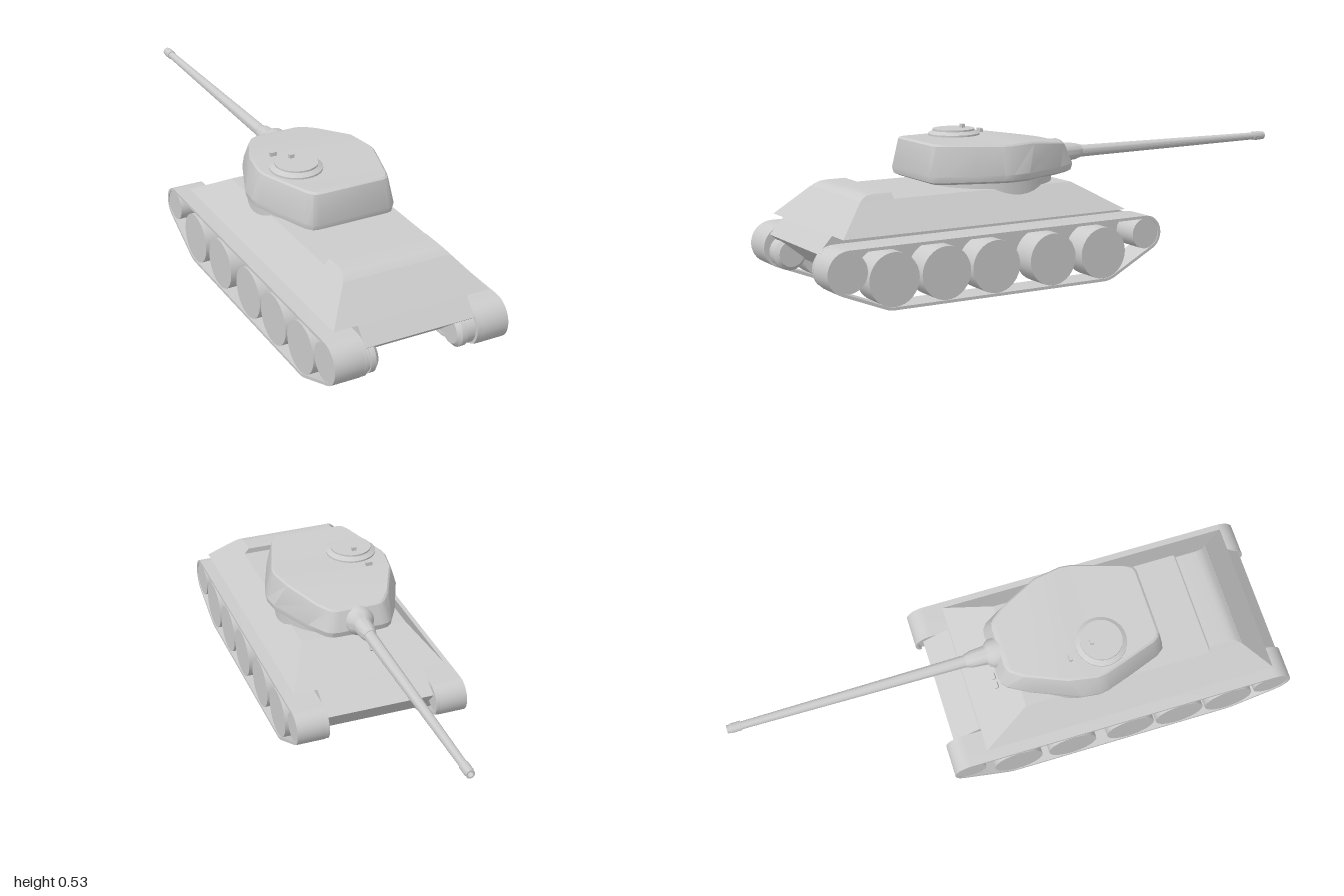
import * as THREE from 'three';
import { toCreasedNormals } from 'three/addons/utils/BufferGeometryUtils.js';

const grey = new THREE.MeshStandardMaterial({ color: 0xcccccc });

function add(parent, name, geometry, x = 0, y = 0, z = 0) {
  const mesh = new THREE.Mesh(geometry, grey);
  mesh.name = name;
  mesh.position.set(x, y, z);
  parent.add(mesh);
  return mesh;
}

// Closed solid from stacked half outlines ([x, y, z], rear to gun end), mirrored in x
function loft(halves, crease = 0.4) {
  const pos = [];
  const rings = halves.map(h => [...h, ...h.map(([x, y, z]) => [-x, y, z]).reverse()]);
  const quad = (a, b, c, d) => pos.push(...a, ...b, ...c, ...a, ...c, ...d);
  const n = rings[0].length;
  for (let k = 0; k < rings.length - 1; k++) {
    const a = rings[k], b = rings[k + 1];
    for (let i = 0; i < n; i++) {
      const j = (i + 1) % n;
      quad(a[i], a[j], b[j], b[i]);
    }
  }
  const lo = rings[0], hi = rings[rings.length - 1];
  for (let i = 0; i < n / 2 - 1; i++) {
    quad(hi[i], hi[i + 1], hi[n - 2 - i], hi[n - 1 - i]);
    quad(lo[n - 1 - i], lo[n - 2 - i], lo[i + 1], lo[i]);
  }
  const g = new THREE.BufferGeometry();
  g.setAttribute('position', new THREE.Float32BufferAttribute(pos, 3));
  return toCreasedNormals(g, crease);
}

// Levels given as [y, half width, gun-end z, rear z]
const block = levels => loft(levels.map(([y, w, zf, zr]) => [[w, y, zr], [w, y, zf]]));

// Running gear circles [z, y, radius], counter-clockwise: rear, idler, first and last road wheel
const circles = [[0.925, 0.137, 0.075], [-0.217, 0.152, 0.063], [-0.04, 0.1, 0.1], [0.765, 0.1, 0.1]];

// Belt path round the circles, pulled in by inset
function beltPath(inset) {
  const tangents = circles.map(([z, y, r], i) => {
    const [z2, y2, r2] = circles[(i + 1) % 4];
    return Math.atan2(y2 - y, z2 - z) - Math.acos((r - r2) / Math.hypot(z2 - z, y2 - y));
  });
  return circles.flatMap(([z, y, r], i) => {
    const start = tangents[(i + 3) % 4];
    const sweep = (tangents[i] - start + 4 * Math.PI) % (2 * Math.PI);
    return Array.from({ length: 13 }, (_, k) => {
      const t = start + sweep * k / 12;
      return new THREE.Vector2(z + (r - inset) * Math.cos(t), y + (r - inset) * Math.sin(t));
    });
  });
}

// Lip over the top run and round both ends
function lipShape() {
  const run = inset => circles.slice(0, 2).flatMap(([z, y, r], i) =>
    Array.from({ length: 13 }, (_, k) => {
      const t = (i ? 90 + 130 * k / 12 : -42 + 132 * k / 12) * Math.PI / 180;
      return new THREE.Vector2(z + (r - inset) * Math.cos(t), y + (r - inset) * Math.sin(t));
    }));
  return new THREE.Shape([...run(0), ...run(0.01).reverse()]);
}

// Extrudes a z-y shape sideways from x0 to x1
function sideways(shape, x0, x1) {
  const g = new THREE.ExtrudeGeometry(shape, { depth: x1 - x0, bevelEnabled: false });
  return toCreasedNormals(g.rotateY(-Math.PI / 2).translate(x1, 0, 0), 0.5);
}

// Turned part; points are [radius, height]
const turned = (points, sides = 32) =>
  toCreasedNormals(new THREE.LatheGeometry(points.map(p => new THREE.Vector2(...p)), sides), 0.5);

function buildRunningGear(side) {
  const gear = new THREE.Group();
  gear.name = side > 0 ? 'leftRunningGear' : 'rightRunningGear';
  const track = new THREE.Shape(beltPath(0));
  track.holes.push(new THREE.Path(beltPath(0.01)));
  const x0 = side > 0 ? 0.213 : -0.318, x1 = side > 0 ? 0.318 : -0.213;
  add(gear, 'track', sideways(track, x0, x1));
  add(gear, 'trackLip', sideways(lipShape(), side > 0 ? 0.2 : -0.213, side > 0 ? 0.213 : -0.2));
  const wheel = (name, z, y, r) =>
    add(gear, name, new THREE.CylinderGeometry(r, r, 0.1, 32).rotateZ(Math.PI / 2), side * 0.265, y, z);
  for (const z of [0.765, 0.575, 0.387, 0.165, -0.04]) wheel('roadWheel', z, 0.1, 0.09);
  wheel('driveWheel', 0.925, 0.137, 0.066);
  wheel('idlerWheel', -0.217, 0.152, 0.054);
  // Final drive drum between the hull and the drive wheel
  const drum = turned([[0, 0], [0.054, 0], [0.054, 0.035], [0.059, 0.035], [0.059, 0.054], [0.045, 0.068], [0, 0.068]], 24);
  add(gear, 'finalDrive', drum.rotateZ(side * Math.PI / 2), side * 0.213, 0.121, 0.922);
  return gear;
}

function buildTurret() {
  const turret = new THREE.Group();
  turret.name = 'turret';
  // Half outlines [x, z] at the widest level and at the roof
  const wide = [[0.13, 0.543], [0.15, 0.538], [0.168, 0.515], [0.21, 0.4], [0.24, 0.31], [0.245, 0.275],
    [0.237, 0.21], [0.165, 0.04], [0.125, -0.03], [0.105, -0.046], [0.08, -0.05]];
  const roof = [[0.12, 0.525], [0.138, 0.518], [0.152, 0.495], [0.188, 0.385], [0.213, 0.305], [0.217, 0.27],
    [0.2, 0.17], [0.135, 0.03], [0.105, -0.01], [0.09, -0.02], [0.07, -0.024]];
  const roofY = (x, z) => z > 0.17
    ? 0.497 - 0.1 * Math.max(0, x - 0.14)
    : 0.491 - 0.13 * (0.17 - z);
  const scaled = (y, s) => wide.map(([x, z]) => [x * s, y, 0.25 + (z - 0.25) * s]);
  const shell = [
    scaled(0.362, 0.93),
    scaled(0.37, 0.985),
    scaled(0.39, 1),
    roof.map(([x, z]) => [x, roofY(x, z) - 0.006, z]),
    roof.map(([x, z]) => [x * 0.97, roofY(x, z), 0.25 + (z - 0.25) * 0.97]),
  ];
  add(turret, 'turretShell', loft(shell, 0.5));
  add(turret, 'turretRing', new THREE.CylinderGeometry(0.218, 0.218, 0.06, 48), 0, 0.345, 0.235);

  // Hatch cupola and its fittings
  add(turret, 'cupola', turned([[0, 0], [0.091, 0], [0.091, 0.006], [0.074, 0.016], [0.074, 0.022], [0, 0.022]]), -0.099, 0.494, 0.32);
  add(turret, 'periscope', new THREE.BoxGeometry(0.018, 0.014, 0.012), -0.099, 0.522, 0.285);
  add(turret, 'roofSight', new THREE.BoxGeometry(0.024, 0.014, 0.012), -0.125, 0.499, 0.2);

  // Gun with mantlet, lying along -z
  const mantlet = turned([[0, -0.04], [0.052, -0.03], [0.052, 0.015], [0.046, 0.028], [0.034, 0.04], [0.03, 0.09], [0.023, 0.115], [0, 0.115]]);
  add(turret, 'mantlet', mantlet.rotateX(-Math.PI / 2), 0, 0.414, -0.03);
  const barrel = turned([[0, 0], [0.022, 0], [0.02, 0.2], [0.014, 0.81], [0.014, 0.83], [0.017, 0.83],
    [0.017, 0.865], [0.015, 0.868], [0.015, 0.88], [0.01, 0.88], [0.01, 0.86], [0, 0.86]], 20);
  add(turret, 'gunBarrel', barrel.rotateX(-Math.PI / 2), 0, 0.413, -0.12);
  return turret;
}

export function createModel() {
  const model = new THREE.Group();
  model.name = 'tank';

  // Hull: lower tub, sloped superstructure, raised rear deck
  const hull = new THREE.Group();
  hull.name = 'hull';
  model.add(hull);
  add(hull, 'lowerHull', block([[0.09, 0.2, -0.17, 0.86], [0.185, 0.2, -0.25, 0.978], [0.24, 0.2, -0.154, 0.928]]));
  add(hull, 'superstructure', block([[0.24, 0.285, -0.15, 0.928], [0.34, 0.1975, 0.02, 0.826]]));
  add(hull, 'rearDeck', block([[0.338, 0.199, 0.705, 0.828], [0.35, 0.189, 0.705, 0.812], [0.357, 0.183, 0.705, 0.797], [0.36, 0.18, 0.705, 0.775]]));
  for (const x of [-0.08, -0.045]) {
    add(hull, 'visionBlock', new THREE.BoxGeometry(0.022, 0.016, 0.014), x, 0.297, -0.052).rotation.x = -0.53;
  }

  model.add(buildRunningGear(1), buildRunningGear(-1), buildTurret());
  return model;
}
